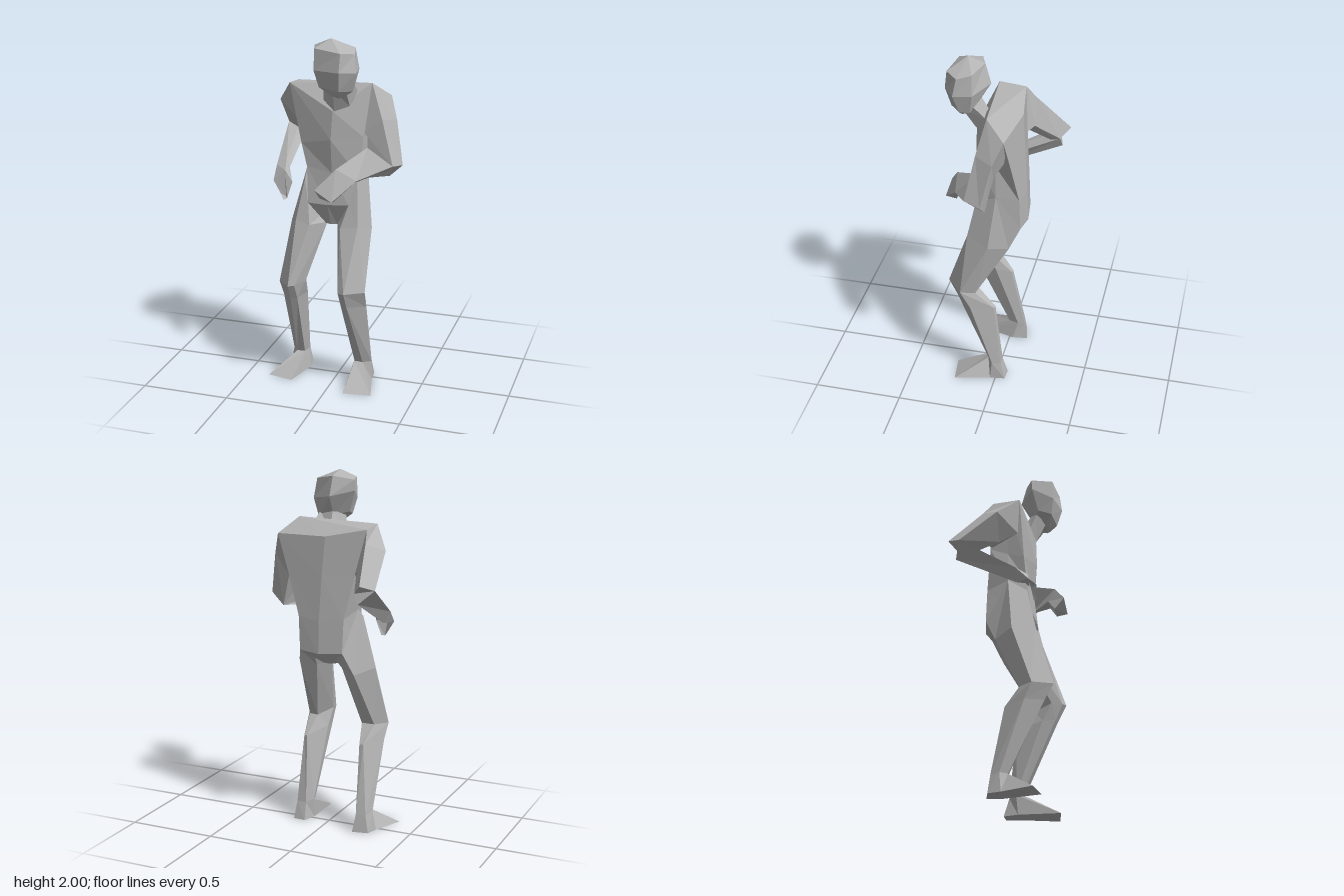
import * as THREE from 'three';

// Skin a closed, flat-shaded part over a list of cross-sections [x, y, z]
function loft(name, rings, material) {
  const tris = [];
  const n = rings[0].length, last = rings.length - 1;
  for (let r = 0; r < last; r++) {
    for (let i = 0; i < n; i++) {
      const j = (i + 1) % n;
      const a = rings[r][i], b = rings[r][j], c = rings[r + 1][j], d = rings[r + 1][i];
      tris.push([a, b, c], [a, c, d]);
    }
  }
  for (let i = 1; i < n - 1; i++) {
    tris.push([rings[0][0], rings[0][i + 1], rings[0][i]]);
    tris.push([rings[last][0], rings[last][i], rings[last][i + 1]]);
  }
  // Turn the faces outward if the enclosed volume is negative
  const v = (p) => new THREE.Vector3(...p);
  let volume = 0;
  for (const [a, b, c] of tris) volume += v(a).dot(v(b).cross(v(c)));
  if (volume < 0) tris.forEach((t) => t.reverse());
  const geometry = new THREE.BufferGeometry();
  geometry.setAttribute('position', new THREE.Float32BufferAttribute(tris.flat(2), 3));
  geometry.computeVertexNormals();
  const mesh = new THREE.Mesh(geometry, material);
  mesh.name = name;
  return mesh;
}

// Chain of parts that share the section at each joint
function limb(name, parts, rings, material) {
  const group = new THREE.Group();
  group.name = name;
  for (const [part, from, to] of parts) group.add(loft(part, rings.slice(from, to + 1), material));
  return group;
}

// Sections run left front, left flank, left back, spine, right back, right flank, right front, breastbone
const torso = [
  [[.2, 1.745, .04], [.24, 1.702, -.014], [.28, 1.66, -.068], [-.024, 1.665, -.107],
    [-.253, 1.71, -.073], [-.253, 1.717, 0], [-.253, 1.725, .075], [.01, 1.6, .14]],
  [[.17, 1.46, .1], [.175, 1.45, 0], [.205, 1.45, -.093], [-.01, 1.45, -.122],
    [-.193, 1.45, -.096], [-.185, 1.42, 0], [-.185, 1.4, .09], [0, 1.44, .145]],
  [[.15, 1.24, .11], [.17, 1.25, 0], [.13, 1.22, -.12], [0, 1.2, -.138],
    [-.14, 1.22, -.12], [-.175, 1.26, 0], [-.15, 1.27, .1], [0, 1.25, .125]],
  [[.1, 1.08, .14], [.15, 1.1, 0], [.12, 1.03, -.126], [0, 1.02, -.145],
    [-.135, 1.03, -.128], [-.17, 1.1, 0], [-.135, 1.07, .13], [-.02, 1.07, .14]],
  [[.013, .94, .07], [.013, .94, .01], [.013, .95, -.05], [-.02, .95, -.06],
    [-.05, .95, -.05], [-.05, .94, .01], [-.05, .94, .07], [-.02, .94, .08]],
];

const neck = [
  [[-.05, 1.65, .11], [.02, 1.67, .05], [.13, 1.69, .05], [.1, 1.63, .12], [.02, 1.6, .14]],
  [[-.035, 1.75, .15], [.03, 1.78, .11], [.12, 1.77, .14], [.1, 1.74, .2], [.03, 1.73, .2]],
];

const crown = Array(6).fill([.016, 2, .18]);
const head = [
  crown,
  [[-.093, 1.95, .127], [.02, 1.97, .087], [.135, 1.95, .132], [.155, 1.93, .21], [.095, 1.94, .275], [-.055, 1.955, .245]],
  [[-.095, 1.89, .13], [.026, 1.86, .055], [.155, 1.84, .128], [.168, 1.835, .229], [.09, 1.84, .288], [-.058, 1.84, .25]],
  [[-.05, 1.77, .16], [.03, 1.75, .12], [.13, 1.73, .145], [.14, 1.73, .2], [.08, 1.735, .257], [-.035, 1.75, .235]],
  [[.02, 1.72, .19], [.045, 1.71, .17], [.08, 1.7, .17], [.09, 1.695, .198], [.07, 1.69, .215], [.03, 1.7, .215]],
];

// Sections run front outer, back outer, lower inner, front inner
const leftArm = [
  [[.2, 1.745, .04], [.28, 1.66, -.068], [.195, 1.5, -.06], [.17, 1.48, .08]],
  [[.27, 1.56, .085], [.325, 1.54, -.015], [.245, 1.42, -.005], [.19, 1.46, .085]],
  [[.343, 1.32, .132], [.375, 1.305, .04], [.3, 1.235, .03], [.19, 1.4, .09]],
  [[.17, 1.25, .225], [.155, 1.235, .205], [.07, 1.24, .2], [.06, 1.31, .24]],
  [[.057, 1.145, .31], [.05, 1.13, .25], [-.03, 1.14, .245], [-.042, 1.2, .298]],
];
const rightArm = [
  [[-.253, 1.725, .075], [-.253, 1.71, -.073], [-.19, 1.46, -.09], [-.22, 1.53, .06]],
  [[-.35, 1.6, -.04], [-.27, 1.64, -.13], [-.22, 1.49, -.13], [-.24, 1.47, -.04]],
  [[-.376, 1.42, -.247], [-.316, 1.45, -.315], [-.265, 1.4, -.263], [-.29, 1.345, -.275]],
  [[-.34, 1.25, .06], [-.29, 1.28, .04], [-.265, 1.24, .06], [-.3, 1.18, .06]],
  [[-.335, 1.18, .13], [-.27, 1.24, .12], [-.225, 1.18, .13], [-.28, 1.17, .168]],
  [[-.29, 1.11, .14], [-.26, 1.1, .14], [-.25, 1.09, .15], [-.265, 1.085, .168]],
];

// Sections run front inner, front outer, outer, back outer, back inner, inner
const leftLeg = [
  [[.1, 1.08, .14], [.14, 1.22, .11], [.17, 1.25, 0], [.12, 1.03, -.126], [.04, 1.03, -.12], [.03, 1, 0]],
  [[.06, .95, .17], [.16, .97, .165], [.205, .93, .04], [.14, .9, -.065], [.055, .93, -.045], [.013, .94, .06]],
  [[.08, .61, .27], [.117, .615, .288], [.213, .605, .2], [.18, .59, .12], [.125, .59, .11], [.07, .615, .21]],
  [[.085, .52, .23], [.12, .52, .24], [.205, .5, .145], [.165, .49, .015], [.145, .49, .01], [.08, .52, .16]],
  [[.11, .11, .045], [.16, .11, .05], [.204, .11, .02], [.19, .1, -.03], [.135, .1, -.03], [.103, .11, .01]],
  [[.103, 0, .25], [.26, 0, .232], [.21, 0, .03], [.2, 0, -.055], [.13, 0, -.06], [.105, 0, .02]],
];
const rightLeg = [
  [[-.135, 1.07, .13], [-.16, 1.2, .105], [-.175, 1.26, 0], [-.135, 1.03, -.126], [-.06, 1.03, -.12], [-.06, 1, 0]],
  [[-.12, .95, .155], [-.2, .97, .15], [-.265, .93, .03], [-.18, .9, -.07], [-.1, .93, -.05], [-.05, .94, .05]],
  [[-.185, .61, .235], [-.218, .61, .25], [-.305, .59, .14], [-.245, .59, .07], [-.17, .59, .07], [-.146, .615, .15]],
  [[-.185, .52, .185], [-.22, .52, .2], [-.295, .5, .1], [-.215, .49, -.013], [-.19, .49, -.01], [-.158, .52, .08]],
  [[-.205, .11, .005], [-.25, .11, .01], [-.282, .11, -.03], [-.26, .1, -.08], [-.205, .1, -.09], [-.19, .11, -.05]],
  [[-.23, 0, .18], [-.376, 0, .15], [-.3, 0, -.02], [-.28, 0, -.09], [-.19, 0, -.108], [-.18, 0, -.02]],
];

export function createModel() {
  const skin = new THREE.MeshStandardMaterial({ color: 0xb4b4b4, flatShading: true });
  skin.name = 'plain grey';
  const model = new THREE.Group();
  model.name = 'standingFigure';
  const arm = (end) => [['upperArm', 0, 2], ['forearm', 2, 3], ['hand', 3, end]];
  const leg = [['thigh', 0, 2], ['shin', 2, 4], ['foot', 4, 5]];
  model.add(
    loft('torso', torso, skin),
    loft('neck', neck, skin),
    loft('head', head, skin),
    limb('leftArm', arm(4), leftArm, skin),
    limb('rightArm', arm(5), rightArm, skin),
    limb('leftLeg', leg, leftLeg, skin),
    limb('rightLeg', leg, rightLeg, skin),
  );
  return model;
}
